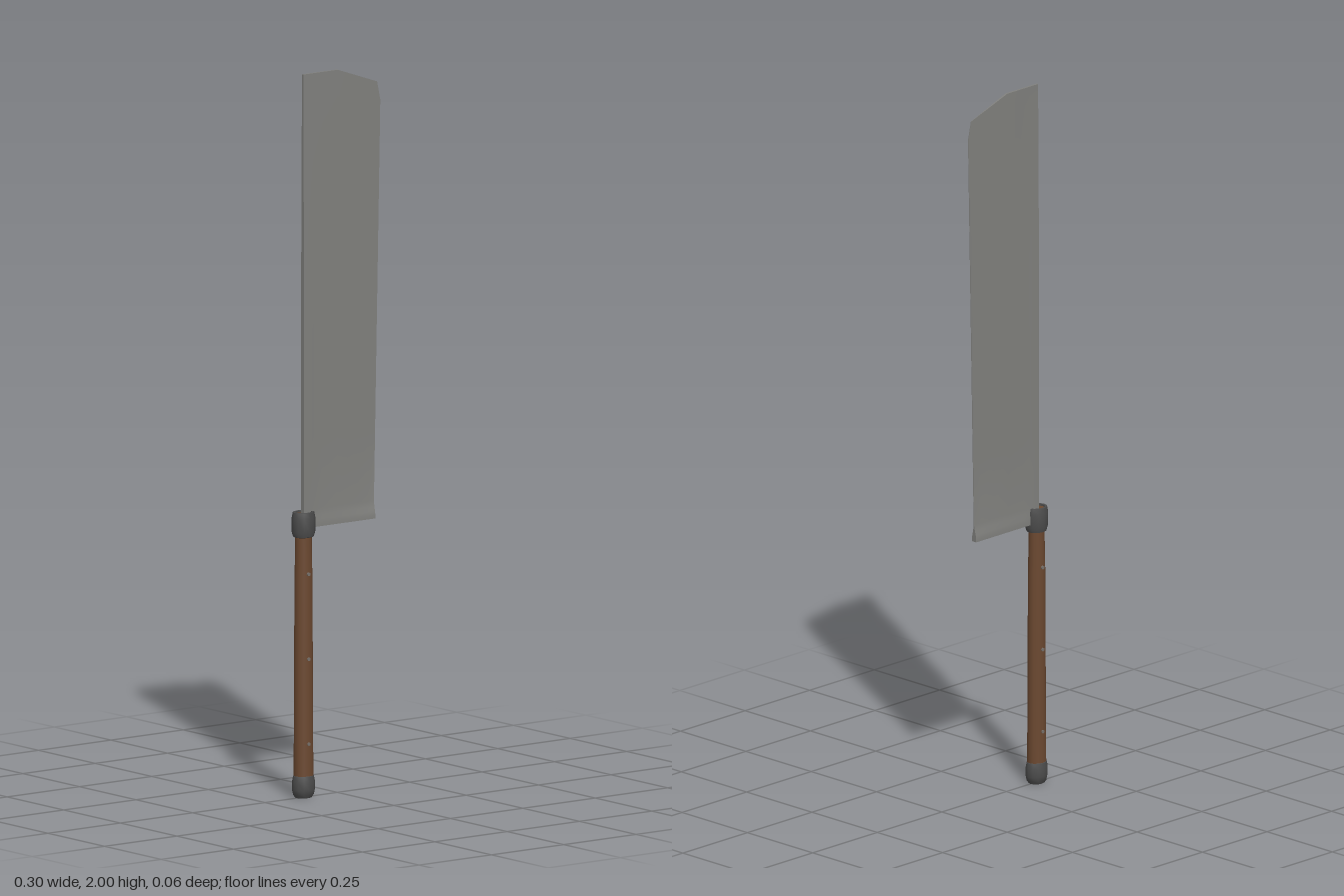
import * as THREE from 'three';
import { toCreasedNormals } from 'three/addons/utils/BufferGeometryUtils.js';

const material = (name, color) => Object.assign(new THREE.MeshStandardMaterial({ color }), { name });
const lerp = THREE.MathUtils.lerp;
const smooth = THREE.MathUtils.smoothstep;

// Blade lofted from closed cross-sections: thick spine and heel, thin edge and tip
function bladeGeometry() {
  const us = [0, 0.05, 0.12, 0.25, 0.465, 0.7, 0.9, 1];
  const ts = [0, 0.008, 0.016, 0.026, 0.04, 0.2, 0.4, 0.6, 0.8, 0.957, 1];
  const n = us.length, ring = n * 2, pos = [], index = [];
  for (const t of ts) {
    const width = t < 0.957 ? lerp(0.245, 0.268, t / 0.957) : lerp(0.268, 0.257, (t - 0.957) / 0.043);
    const heel = 1 - smooth(t, 0.006, 0.04);
    const spine = lerp(0.006, 0.003, smooth(t, 0.6, 1));
    for (let k = 0; k < ring; k++) {
      const u = us[k < n ? k : ring - 1 - k];
      const top = u <= 0.465 ? 2 : lerp(2, 1.952, (u - 0.465) / 0.535);
      const body = lerp(lerp(spine, 0.0035, smooth(u, 0.05, 0.25)), 0.0008, smooth(u, 0.4, 1));
      const half = lerp(Math.min(body, spine), 0.008, heel * smooth(u, 0, 0.12));
      pos.push(-0.12 + u * width, lerp(0.745, top, t), k < n ? half : -half);
    }
  }
  const last = (ts.length - 1) * ring;
  for (let j = 0; j < last; j += ring) {
    for (let k = 0; k < ring; k++) {
      const a = j + k, b = j + (k + 1) % ring;
      index.push(a, b, b + ring, a, b + ring, a + ring);
    }
  }
  for (let k = 0; k < n - 1; k++) {
    const a = k, b = ring - 1 - k, c = b - 1, d = k + 1;
    index.push(a, b, c, a, c, d);
    index.push(last + a, last + c, last + b, last + a, last + d, last + c);
  }
  const g = new THREE.BufferGeometry();
  g.setAttribute('position', new THREE.Float32BufferAttribute(pos, 3));
  g.setIndex(index);
  return toCreasedNormals(g, 0.5);
}

// Slightly oval turned part around the handle axis
function turned(points) {
  const g = new THREE.LatheGeometry(points.map(([r, y]) => new THREE.Vector2(r, y)), 12);
  g.scale(1, 1, 0.85);
  return toCreasedNormals(g, 0.7);
}

export function createModel() {
  const group = new THREE.Group();
  const steel = material('blade steel', 0x80807d);
  const iron = material('dark iron', 0x4c4c4c);
  const wood = material('brown wood', 0x6b4830);
  const pin = material('rivet metal', 0x77706a);
  const axis = -0.117;
  const add = (name, geometry, mat, x = 0, y = 0, z = 0) => {
    const mesh = new THREE.Mesh(geometry, mat);
    mesh.name = name;
    mesh.position.set(x, y, z);
    group.add(mesh);
    return mesh;
  };

  add('blade', bladeGeometry(), steel);

  // Wooden grip, a little fuller towards the pommel
  add('grip', turned([[0, 0.03], [0.029, 0.03], [0.028, 0.15], [0.027, 0.38],
    [0.026, 0.6], [0.024, 0.7], [0.024, 0.785], [0, 0.785]]), wood, axis);

  // Iron bolster and pommel
  add('bolster', turned([[0.024, 0.72], [0.03, 0.722], [0.034, 0.735], [0.034, 0.775],
    [0.031, 0.79], [0.024, 0.79], [0.023, 0.78]]), iron, axis);
  add('pommel', turned([[0, 0], [0.024, 0], [0.03, 0.008], [0.033, 0.022],
    [0.033, 0.045], [0.03, 0.06], [0.026, 0.062]]), iron, axis);

  // Rivets through the grip
  for (const y of [0.15, 0.385, 0.62]) {
    const g = new THREE.CylinderGeometry(0.005, 0.005, 0.051, 8);
    g.rotateX(Math.PI / 2);
    add('rivet', g, pin, axis, y, 0);
  }
  return group;
}
